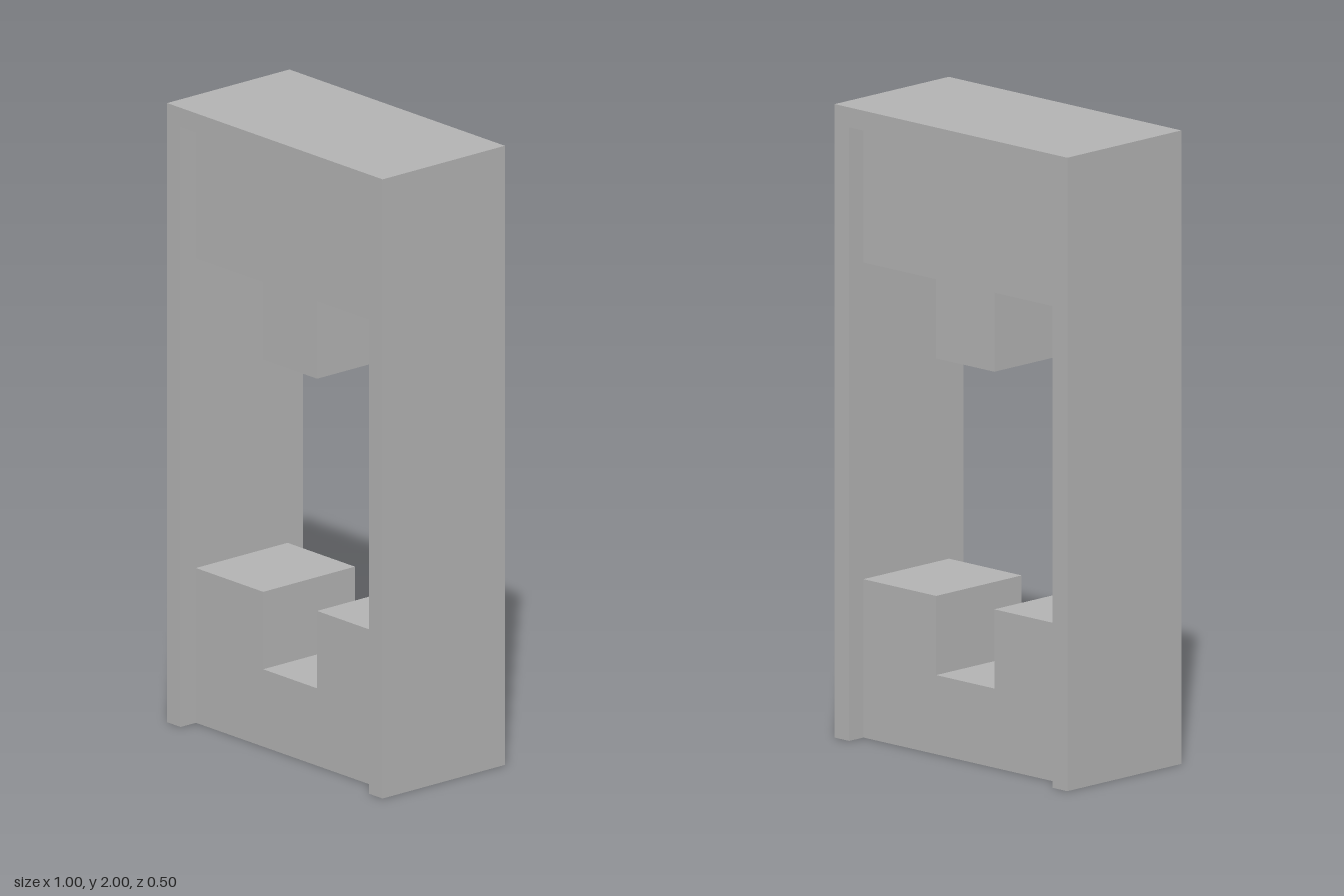
import * as THREE from 'three';

const grey = new THREE.MeshStandardMaterial({ color: 0xb2b2b2 });
grey.name = 'plain grey';

// Extrude an outline of [x, y] corners, centred on z = 0
function slab(name, corners, depth) {
  const shape = new THREE.Shape(corners.map(([x, y]) => new THREE.Vector2(x, y)));
  const geometry = new THREE.ExtrudeGeometry(shape, { depth, bevelEnabled: false });
  geometry.translate(0, 0, -depth / 2);
  const mesh = new THREE.Mesh(geometry, grey);
  mesh.name = name;
  return mesh;
}

// Complete the right half of an outline with its mirror image
const mirrored = (half) => [...half, ...half.map(([x, y]) => [-x, y]).reverse()];

export function createModel() {
  const wall = 0.0625;
  const outer = 0.5, inner = outer - wall;
  const ceiling = 2 - wall;
  const tab = 0.125;
  const frameDepth = 0.5, blockDepth = frameDepth - 2 * wall;

  const group = new THREE.Group();
  group.name = 'notchedFrame';

  // Outer frame: two side walls and a top, open at the bottom
  group.add(slab('frame', mirrored([
    [inner, ceiling], [inner, 0], [outer, 0], [outer, 2],
  ]), frameDepth));

  // Lower block with a square notch, set back from the frame edges
  group.add(slab('lowerBlock', mirrored([
    [inner, 0], [inner, 0.5], [tab, 0.5], [tab, 0.25],
  ]), blockDepth));

  // Upper block with a matching tab hanging down
  group.add(slab('upperBlock', mirrored([
    [tab, 1.25], [tab, 1.5], [inner, 1.5], [inner, ceiling],
  ]), blockDepth));

  return group;
}
